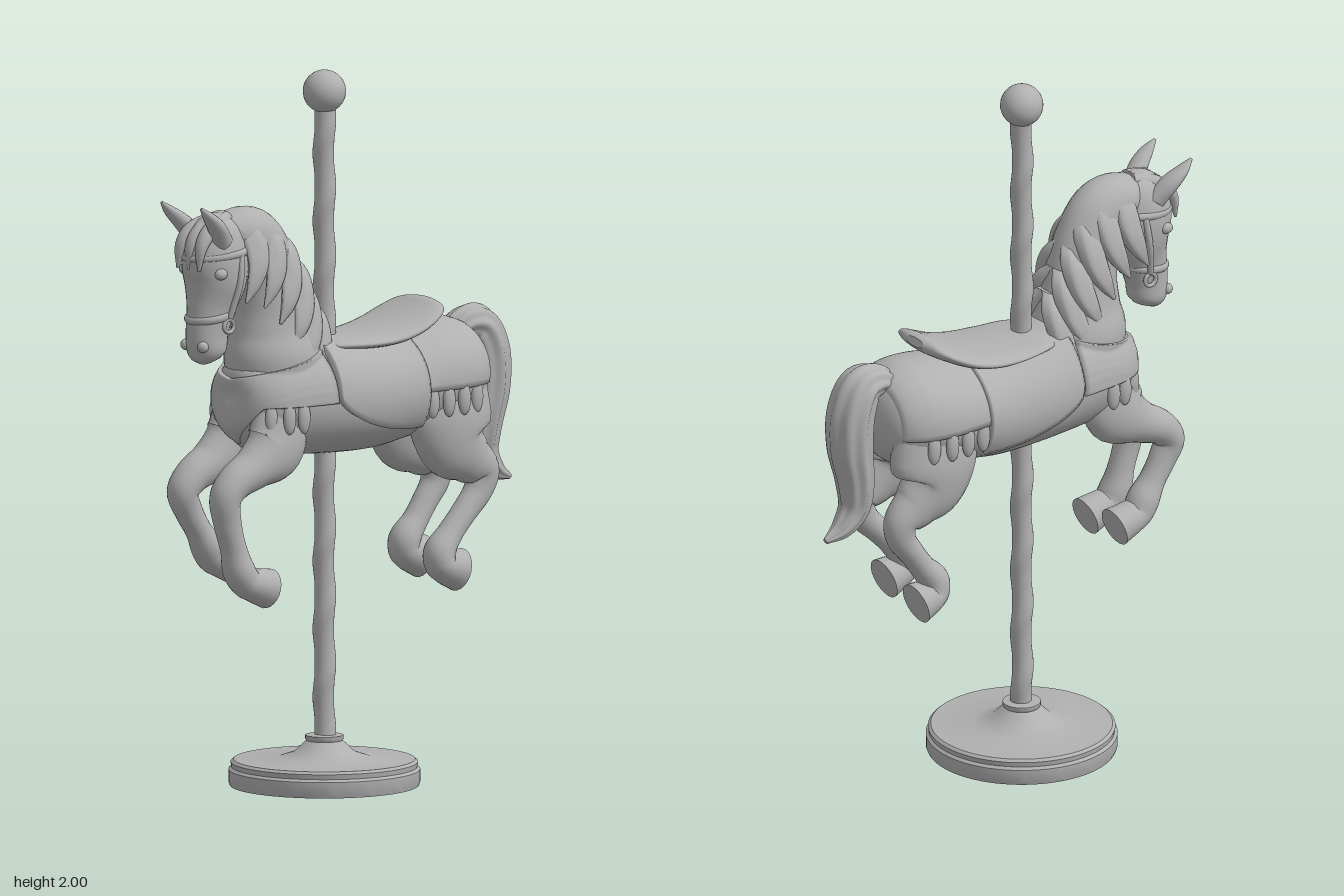
import * as THREE from 'three';
import { toCreasedNormals } from 'three/addons/utils/BufferGeometryUtils.js';

const gray = new THREE.MeshStandardMaterial({ color: 0xb0b0b0, side: THREE.DoubleSide });
gray.name = 'plainGray';

function mesh(name, geometry) {
  const m = new THREE.Mesh(geometry, gray);
  m.name = name;
  return m;
}

function surface(positions, index) {
  const g = new THREE.BufferGeometry();
  g.setAttribute('position', new THREE.Float32BufferAttribute(positions, 3));
  g.setIndex(index);
  g.computeVertexNormals();
  return g;
}

// Smooth loft; each row is [x, y, z, half width across x, half thickness], ribs carve hair grooves
function loft(rows, { steps = 6, sides = 28, ribs = 0, depth = 0.06 } = {}) {
  const path = new THREE.CatmullRomCurve3(rows.map(r => new THREE.Vector3(r[0], r[1], r[2])), false, 'catmullrom');
  const size = new THREE.CatmullRomCurve3(rows.map(r => new THREE.Vector3(r[3], r[4], 0)), false, 'catmullrom');
  const n = (rows.length - 1) * steps, pos = [], idx = [];
  const ring = t => {
    const c = path.getPoint(t), s = size.getPoint(t), d = path.getTangent(t).setX(0).normalize();
    const out = [];
    for (let j = 0; j < sides; j++) {
      const a = j / sides * Math.PI * 2, k = 1 + (ribs ? depth * Math.cos(ribs * a) : 0);
      const u = Math.cos(a) * s.x * k, v = Math.sin(a) * s.y * k;
      out.push(c.x + u, c.y + d.z * v, c.z - d.y * v);
    }
    return { c, out };
  };
  for (let i = 0; i <= n; i++) {
    pos.push(...ring(i / n).out);
    for (let j = 0; j < sides && i < n; j++) {
      const a = i * sides + j, b = i * sides + (j + 1) % sides;
      idx.push(a, b, a + sides, b, b + sides, a + sides);
    }
  }
  for (const t of [0, 1]) { // end caps with crisp rims
    const { c, out } = ring(t), o = pos.length / 3;
    pos.push(...out, c.x, c.y, c.z);
    for (let j = 0; j < sides; j++) {
      const a = o + j, b = o + (j + 1) % sides;
      idx.push(o + sides, t ? a : b, t ? b : a);
    }
  }
  return surface(pos, idx);
}

// Cloth laid on the given meshes: ray(u, v) returns [origin, direction]; the border tucks in
function drape(targets, ray, thick = 0.013, nu = 36, nv = 36) {
  const caster = new THREE.Raycaster(), pos = [], idx = [];
  const param = (i, n) => Math.min(Math.max((i - 1) / (n - 2), 0), 1);
  for (let i = 0; i <= nu; i++) for (let j = 0; j <= nv; j++) {
    const [o, d] = ray(param(i, nu), param(j, nv));
    d.normalize();
    caster.set(o, d);
    const hits = caster.intersectObjects(targets, false);
    const far = hits.length ? hits[hits.length - 1].distance : 0.1;
    const edge = i === 0 || j === 0 || i === nu || j === nv;
    const p = o.clone().addScaledVector(d, far + (edge ? -0.012 : thick));
    pos.push(p.x, p.y, p.z);
    if (i < nu && j < nv) {
      const a = i * (nv + 1) + j, b = a + nv + 1;
      idx.push(a, a + 1, b, b, a + 1, b + 1);
    }
  }
  return surface(pos, idx);
}

const V = (x, y, z) => new THREE.Vector3(x, y, z);

export function createModel() {
  const model = new THREE.Group();
  const horse = new THREE.Group();
  horse.name = 'horse';
  const add = (name, g) => { const m = mesh(name, g); horse.add(m); return m; };

  // Stand: round base, twisted pole and ball
  const stand = new THREE.Group();
  stand.name = 'stand';
  stand.position.z = 0.075;
  const profile = [[0, 0], [0.262, 0], [0.266, 0.01], [0.266, 0.045], [0.258, 0.052], [0.26, 0.066], [0.252, 0.073],
    [0.13, 0.077], [0.085, 0.092], [0.058, 0.118], [0.05, 0.125], [0.053, 0.13], [0.053, 0.14], [0.02, 0.143]];
  stand.add(mesh('base', toCreasedNormals(new THREE.LatheGeometry(profile.map(p => new THREE.Vector2(...p)), 64), 0.6)));
  const poleG = new THREE.CylinderGeometry(1, 1, 1.78, 24, 140, true);
  const pp = poleG.attributes.position;
  for (let i = 0; i < pp.count; i++) {
    const y = pp.getY(i), a = Math.atan2(pp.getX(i), pp.getZ(i));
    const r = 0.027 + 0.006 * Math.pow(0.5 + 0.5 * Math.cos(a - y * 33), 2);
    pp.setXYZ(i, pp.getX(i) * r, y + 1.03, pp.getZ(i) * r);
  }
  poleG.computeVertexNormals();
  stand.add(mesh('pole', poleG));
  stand.add(mesh('ball', new THREE.SphereGeometry(0.06, 32, 24).translate(0, 1.942, 0)));
  model.add(stand, horse);

  // Body, neck and head
  const body = add('body', loft([
    [0, 1.08, 0.418, 0.015, 0.015], [0, 1.08, 0.40, 0.085, 0.09], [0, 1.09, 0.34, 0.137, 0.145],
    [0, 1.105, 0.22, 0.158, 0.165], [0, 1.092, 0.09, 0.165, 0.16], [0, 1.085, -0.05, 0.165, 0.155],
    [0, 1.095, -0.16, 0.166, 0.148], [0, 1.115, -0.28, 0.172, 0.15], [0, 1.12, -0.37, 0.155, 0.143],
    [0, 1.12, -0.43, 0.11, 0.1], [0, 1.12, -0.458, 0.02, 0.02]], { sides: 40 }));
  const neck = add('neck', loft([
    [0, 1.10, 0.25, 0.12, 0.13], [0, 1.22, 0.262, 0.128, 0.145], [0, 1.30, 0.268, 0.105, 0.125],
    [0, 1.38, 0.278, 0.092, 0.108], [0, 1.47, 0.30, 0.085, 0.1], [0, 1.55, 0.35, 0.078, 0.095],
    [0, 1.575, 0.42, 0.07, 0.07], [0, 1.56, 0.48, 0.04, 0.04]]));
  add('head', loft([
    [0, 1.63, 0.43, 0.015, 0.02], [0, 1.6, 0.445, 0.06, 0.075], [0, 1.53, 0.472, 0.083, 0.1],
    [0, 1.45, 0.475, 0.082, 0.092], [0, 1.375, 0.491, 0.062, 0.072], [0, 1.31, 0.504, 0.056, 0.062],
    [0, 1.26, 0.506, 0.055, 0.056], [0, 1.235, 0.503, 0.038, 0.038], [0, 1.226, 0.5, 0.008, 0.008]]));
  const band = (name, y, z, rx, rz, tilt) => {
    const g = new THREE.TorusGeometry(1, 0.11, 10, 40).rotateX(Math.PI / 2).scale(rx, 0.1, rz);
    add(name, g.rotateX(tilt).translate(0, y, z));
  };
  band('noseband', 1.355, 0.494, 0.06, 0.068, 0.15);
  band('browband', 1.53, 0.47, 0.079, 0.097, 0.1);

  // Mirrored details
  for (const s of [-1, 1]) {
    const side = s > 0 ? 'left' : 'right';
    add(side + 'Ear', loft([[s * 0.055, 1.56, 0.49, 0.026, 0.03], [s * 0.072, 1.61, 0.53, 0.031, 0.024],
      [s * 0.082, 1.645, 0.568, 0.022, 0.015], [s * 0.084, 1.672, 0.598, 0.004, 0.004]], { sides: 16 }));
    add(side + 'Eye', new THREE.SphereGeometry(0.02, 16, 12).scale(0.7, 0.8, 1).translate(s * 0.076, 1.48, 0.518));
    add(side + 'Nostril', new THREE.SphereGeometry(0.016, 14, 10).translate(s * 0.036, 1.275, 0.55));
    add(side + 'BitRing', new THREE.TorusGeometry(0.018, 0.006, 8, 20).rotateY(Math.PI / 2).translate(s * 0.06, 1.33, 0.475));
    add(side + 'CheekStrap', loft([[s * 0.076, 1.53, 0.445, 0.01, 0.01], [s * 0.083, 1.45, 0.455, 0.01, 0.01],
      [s * 0.062, 1.35, 0.474, 0.008, 0.009]], { sides: 10 }));

    // Mane locks falling from the crest
    [[1.61, 0.40], [1.59, 0.335], [1.54, 0.28], [1.47, 0.235], [1.40, 0.205], [1.34, 0.17]].forEach(([y, z], i) => {
      add(side + 'ManeLock', loft([[s * 0.012, y + 0.015, z, 0.025, 0.03], [s * 0.05, y - 0.03, z - 0.015, 0.028, 0.04],
        [s * 0.083, y - 0.1, z - 0.01, 0.02, 0.036], [s * (0.094 + i * 0.002), y - 0.16, z + 0.012, 0.014, 0.024],
        [s * (0.094 + i * 0.003), y - 0.215, z + 0.042, 0.003, 0.004]], { sides: 20, ribs: 5, depth: 0.08 }));
    });

    // Legs; the right pair is tucked further back below the joint
    const tuck = s > 0 ? 0 : 1;
    const leg = (name, rows, joint, dy, dz) => add(name, loft(rows.map(([x, y, z, a, b], i) => {
      const k = tuck * Math.min(Math.max((i - joint) / 3, 0), 1);
      return [s * x, y + dy * k, z + dz * k, a, b];
    }), { sides: 24 }));
    leg(side + 'FrontLeg', [[0.085, 1.06, 0.31, 0.05, 0.09], [0.088, 0.98, 0.335, 0.06, 0.095], [0.09, 0.93, 0.41, 0.058, 0.062],
      [0.09, 0.895, 0.48, 0.052, 0.05], [0.09, 0.85, 0.515, 0.046, 0.044], [0.09, 0.78, 0.506, 0.038, 0.04],
      [0.09, 0.71, 0.485, 0.038, 0.037], [0.092, 0.65, 0.468, 0.047, 0.045], [0.094, 0.615, 0.445, 0.046, 0.044],
      [0.095, 0.603, 0.415, 0.05, 0.048], [0.095, 0.588, 0.365, 0.056, 0.056]], 4, 0.045, -0.04);
    leg(side + 'HindLeg', [[0.09, 1.12, -0.31, 0.06, 0.12], [0.095, 1.01, -0.30, 0.075, 0.14], [0.098, 0.935, -0.31, 0.07, 0.112],
      [0.1, 0.885, -0.365, 0.056, 0.076], [0.1, 0.845, -0.415, 0.046, 0.052], [0.1, 0.79, -0.4, 0.04, 0.042],
      [0.1, 0.735, -0.35, 0.037, 0.036], [0.1, 0.68, -0.298, 0.038, 0.036], [0.1, 0.635, -0.262, 0.046, 0.044],
      [0.102, 0.602, -0.26, 0.048, 0.044], [0.104, 0.588, -0.28, 0.052, 0.05], [0.105, 0.576, -0.322, 0.058, 0.06]], 4, 0.01, -0.045);

    // Tassels under the straps
    for (const [z, x] of [[0.37, 0.118], [0.325, 0.143], [0.28, 0.152], [-0.18, 0.166], [-0.235, 0.17], [-0.29, 0.171], [-0.345, 0.16]])
      add(side + 'Tassel', new THREE.SphereGeometry(0.022, 14, 12).scale(0.6, 2.1, 0.95).translate(s * x, 1.065, z));
  }

  // Forelock
  for (const x of [-0.035, 0, 0.035])
    add('forelock', loft([[x * 0.4, 1.625, 0.44, 0.02, 0.02], [x, 1.6, 0.52, 0.024, 0.022],
      [x * 1.2, 1.555, 0.562, 0.02, 0.016], [x * 1.3, 1.49, 0.572, 0.004, 0.004]], { sides: 14 }));

  // Tail
  add('tail', loft([[0, 1.2, -0.37, 0.035, 0.03], [0, 1.242, -0.425, 0.05, 0.042], [0, 1.235, -0.482, 0.064, 0.055],
    [0, 1.16, -0.515, 0.07, 0.06], [0, 1.06, -0.518, 0.068, 0.058], [0, 0.96, -0.502, 0.058, 0.05],
    [0, 0.88, -0.503, 0.045, 0.042], [0, 0.825, -0.545, 0.032, 0.028], [0, 0.798, -0.602, 0.008, 0.008]],
  { sides: 48, ribs: 8, depth: 0.06 }));

  // Saddle flaps, rump blanket and breast collar
  horse.updateMatrixWorld(true);
  const over = (z0, z1, reach) => (u, v) => {
    const a = (2 * v - 1) * reach(u);
    return [V(0, 1.1, z0 + (z1 - z0) * u), V(Math.sin(a), Math.cos(a), 0)];
  };
  add('rumpBlanket', drape([body], over(-0.12, -0.425, () => 1.6), 0.009));
  add('saddle', drape([body], over(0.165, -0.16, u => 1.45 + 0.75 * Math.sqrt(Math.sin(Math.min(u * 1.9, 2.05) * 0.77))), 0.016));
  add('breastCollar', drape([body, neck], (u, v) => {
    const a = (1 - 2 * v) * 1.75, k = Math.abs(a) / 1.75;
    const low = 1.095 - 0.11 * Math.max(0, 1 - k / 0.3), high = 1.17 + 0.07 * k;
    return [V(0, high + (low - high) * u, 0.2), V(-Math.sin(a), 0, Math.cos(a))];
  }, 0.011));

  // Seat sweeping up to the rolled rear edge
  add('seat', loft([[0, 1.235, 0.15, 0.06, 0.012], [0, 1.242, 0.1, 0.11, 0.02], [0, 1.24, 0, 0.132, 0.022],
    [0, 1.245, -0.09, 0.138, 0.026], [0, 1.264, -0.17, 0.138, 0.026], [0, 1.293, -0.235, 0.128, 0.024],
    [0, 1.315, -0.275, 0.1, 0.022], [0, 1.322, -0.294, 0.04, 0.012]], { sides: 36 }));
  return model;
}
